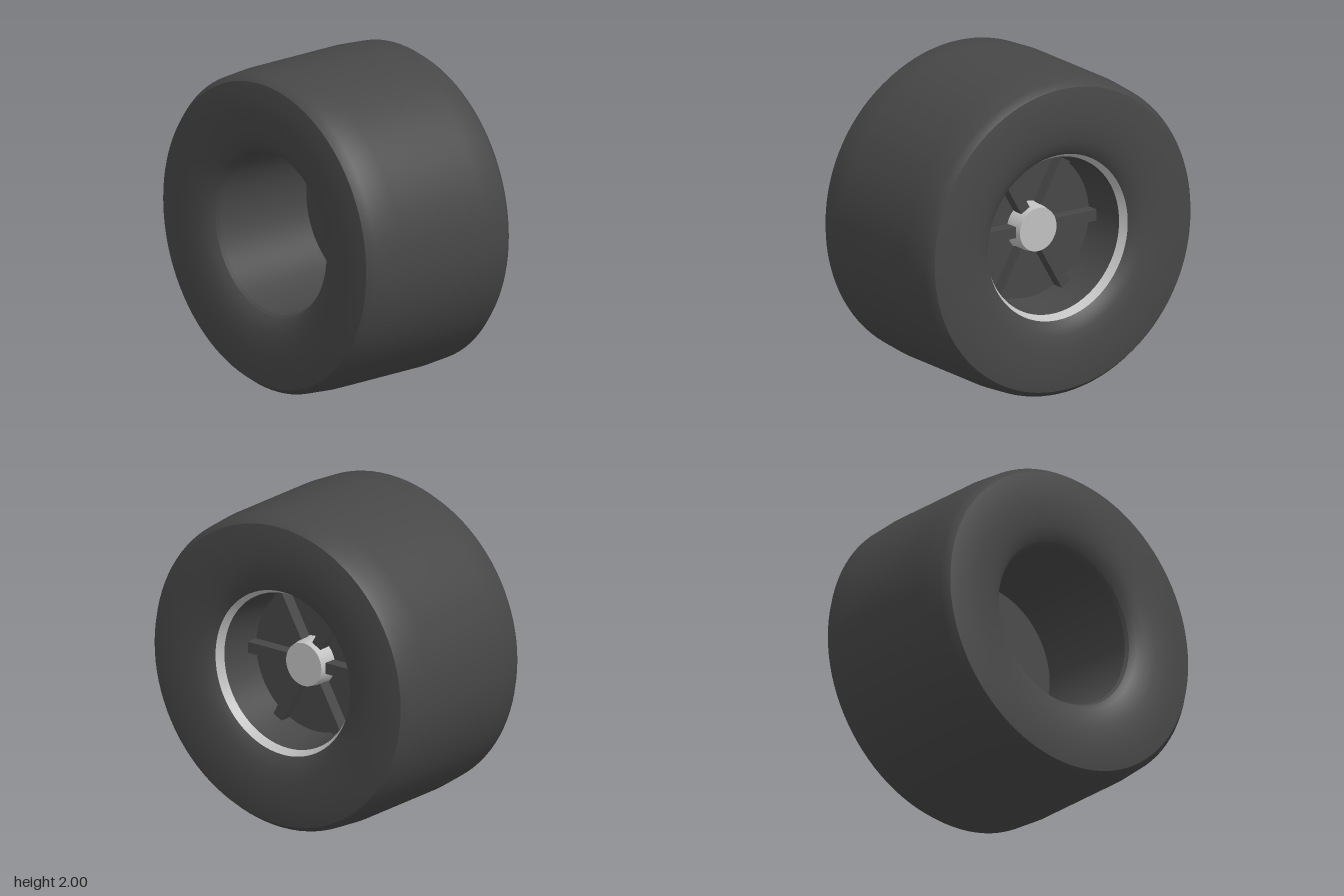
import * as THREE from 'three';

const SEGMENTS = 96;

// Surface of revolution around the x axis; points are [x, radius].
// Walking +x faces outward, walking -x faces the bore.
function revolve(points) {
  const geo = new THREE.LatheGeometry(points.map(([x, r]) => new THREE.Vector2(r, x)), SEGMENTS);
  return geo.rotateZ(-Math.PI / 2);
}

// Solid disc or cone along x, from xBack to xFront
function axial(rFront, rBack, xBack, xFront) {
  const geo = new THREE.CylinderGeometry(rFront, rBack, xFront - xBack, 64);
  return geo.rotateZ(-Math.PI / 2).translate((xBack + xFront) / 2, 0, 0);
}

export function createModel() {
  const rubber = new THREE.MeshStandardMaterial({ color: 0x474747 });
  rubber.name = 'darkRubber';
  const silver = new THREE.MeshStandardMaterial({ color: 0xc0c0c0 });
  silver.name = 'silverMetal';

  const model = new THREE.Group();
  model.name = 'wheel';
  const wheel = new THREE.Group();
  wheel.name = 'wheelAssembly';
  wheel.position.y = 1;
  model.add(wheel);

  const add = (name, geo, mat, parent = wheel) => {
    const mesh = new THREE.Mesh(geo, mat);
    mesh.name = name;
    parent.add(mesh);
    return mesh;
  };

  // Tyre: rounded tread and two bulging sidewalls with a crease at the shoulder
  const shoulder = [[0.56, 0.95], [0.51, 0.986], [0.33, 1]];
  const mirror = (pts) => pts.map(([x, r]) => [-x, r]).reverse();
  add('tread', revolve([...mirror(shoulder).reverse(), ...[...shoulder].reverse()]), rubber);

  const wall = [[0.56, 0.95], [0.574, 0.86], [0.575, 0.76], [0.57, 0.68],
    [0.558, 0.61], [0.538, 0.555], [0.51, 0.52]];
  add('outerSidewall', revolve(wall), rubber);
  add('innerSidewall', revolve(mirror(wall)), rubber);

  // Rim: bright outer lip, tapered dish, and open rear barrel
  add('rimLip', revolve([[0.51, 0.522], [0.46, 0.492]]), silver);
  add('rimDish', revolve([[0.46, 0.492], [0.2, 0.455]]), rubber);
  add('rearBarrel', revolve([[0.2, 0.48], [-0.49, 0.505]]), rubber);
  add('rearLip', revolve([[-0.49, 0.505], [-0.51, 0.52]]), rubber);

  // Centre disc and hub
  add('wheelDisc', axial(0.456, 0.481, 0.17, 0.2), rubber);
  add('hub', axial(0.136, 0.155, 0.19, 0.31), silver);

  // Six spokes radiating over the disc
  const spokes = new THREE.Group();
  spokes.name = 'spokes';
  wheel.add(spokes);
  for (let i = 0; i < 6; i++) {
    const geo = new THREE.BoxGeometry(0.09, 0.07, 0.31);
    geo.translate(0.235, 0, 0.3);
    geo.rotateX((i * Math.PI) / 3);
    add('spoke', geo, rubber, spokes);
  }

  return model;
}
